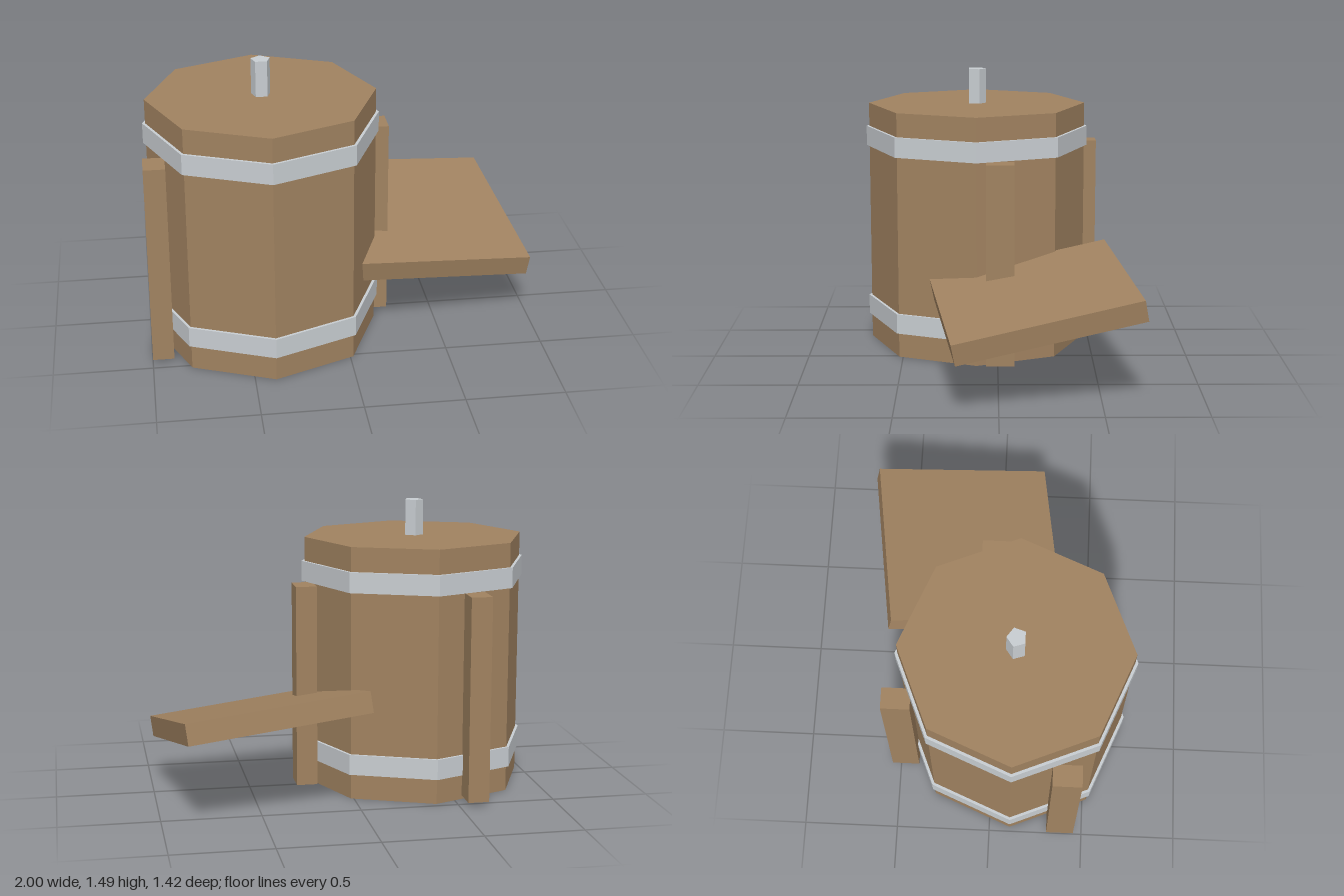
import * as THREE from 'three';

const wood = new THREE.MeshStandardMaterial({ color: 0xa08260, flatShading: true });
wood.name = 'wood';
const metal = new THREE.MeshStandardMaterial({ color: 0xc8cdd1, flatShading: true });
metal.name = 'metal';

// barrel axis
const CX = -0.395, CZ = 0.11;

export function createModel() {
  const model = new THREE.Group();
  model.name = 'barrelMachine';

  const add = (name, geometry, material, x, y, z) => {
    const mesh = new THREE.Mesh(geometry, material);
    mesh.name = name;
    mesh.position.set(x, y, z);
    model.add(mesh);
    return mesh;
  };
  // upright prism on the barrel axis
  const prism = (name, radius, y0, y1, sides, material) =>
    add(name, new THREE.CylinderGeometry(radius, radius, y1 - y0, sides), material, CX, (y0 + y1) / 2, CZ);

  // eight-sided barrel, with its two hoops
  prism('barrel', 0.58, 0, 1.3, 8, wood);
  prism('lowerHoop', 0.595, 0.13, 0.235, 8, metal);
  prism('upperHoop', 0.595, 1.07, 1.175, 8, metal);

  // five-sided pin on the lid
  prism('topPin', 0.05, 1.3, 1.485, 5, metal).rotation.y = Math.PI;

  // upright posts around the barrel
  const posts = { leftPost: [0.207, -0.012], rightPost: [-0.946, 0.382], backPost: [-0.595, -0.473] };
  for (const [name, [x, z]] of Object.entries(posts)) {
    add(name, new THREE.BoxGeometry(0.108, 1.05, 0.145), wood, x, 0.545, z);
  }

  // tilted board on the left side
  const along = new THREE.Vector3(0.92, -0.09, -0.13).normalize();
  const forward = new THREE.Vector3(0.115, -0.185, 0.915).normalize();
  const up = new THREE.Vector3().crossVectors(forward, along).normalize();
  forward.crossVectors(along, up);
  const board = add('board', new THREE.BoxGeometry(0.933, 0.108, 0.94), wood, 0.476, 0.435, -0.178);
  board.quaternion.setFromRotationMatrix(new THREE.Matrix4().makeBasis(along, up, forward));

  return model;
}
